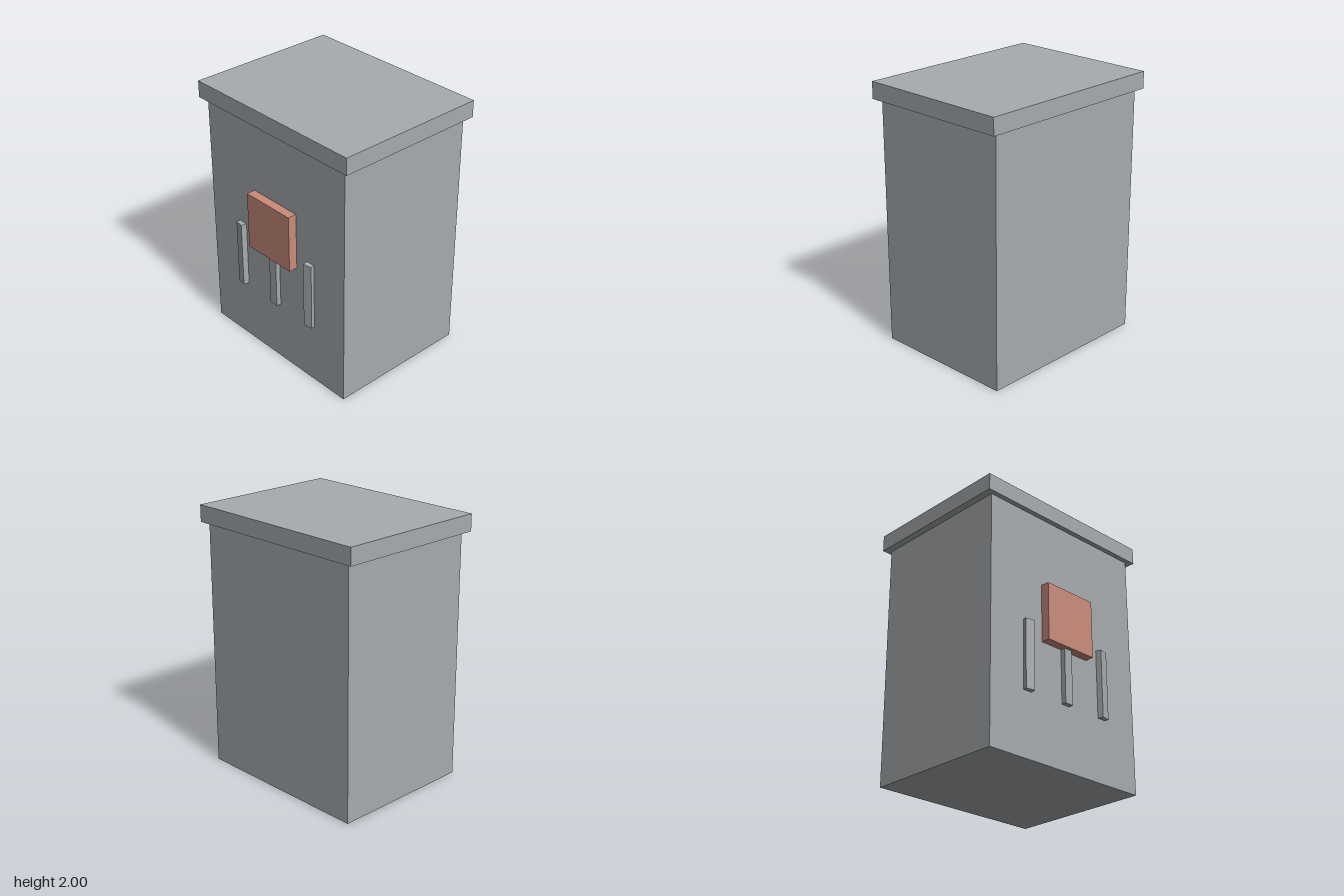
import * as THREE from 'three';

export function createModel() {
  const model = new THREE.Group();
  const grey = new THREE.MeshStandardMaterial({ color: 0xa6abae });
  grey.name = 'grey metal';
  const red = new THREE.MeshStandardMaterial({ color: 0xca8c7c });
  red.name = 'dusty red';

  // Box given by its extents on each axis
  function box(name, material, [x0, x1], [y0, y1], [z0, z1]) {
    const mesh = new THREE.Mesh(new THREE.BoxGeometry(x1 - x0, y1 - y0, z1 - z0), material);
    mesh.position.set((x0 + x1) / 2, (y0 + y1) / 2, (z0 + z1) / 2);
    mesh.name = name;
    model.add(mesh);
    return mesh;
  }

  // Cabinet and overhanging lid
  box('body', grey, [-0.702, 0.702], [0, 1.873], [-0.57, 0.54]);
  box('lid', grey, [-0.755, 0.755], [1.873, 2], [-0.605, 0.577]);

  // Raised square panel on the front
  box('frontPanel', red, [-0.22, 0.22], [0.89, 1.33], [0.52, 0.607]);

  // Three upright bars; the outer two are turned outwards
  box('middleBar', grey, [-0.035, 0.035], [0.48, 1.0], [0.519, 0.577]);
  for (const side of [-1, 1]) {
    const x = side * 0.365;
    const bar = box(side > 0 ? 'leftBar' : 'rightBar', grey,
      [x - 0.035, x + 0.035], [0.48, 1.0], [0.519, 0.577]);
    bar.rotation.y = side * THREE.MathUtils.degToRad(10);
  }

  return model;
}
